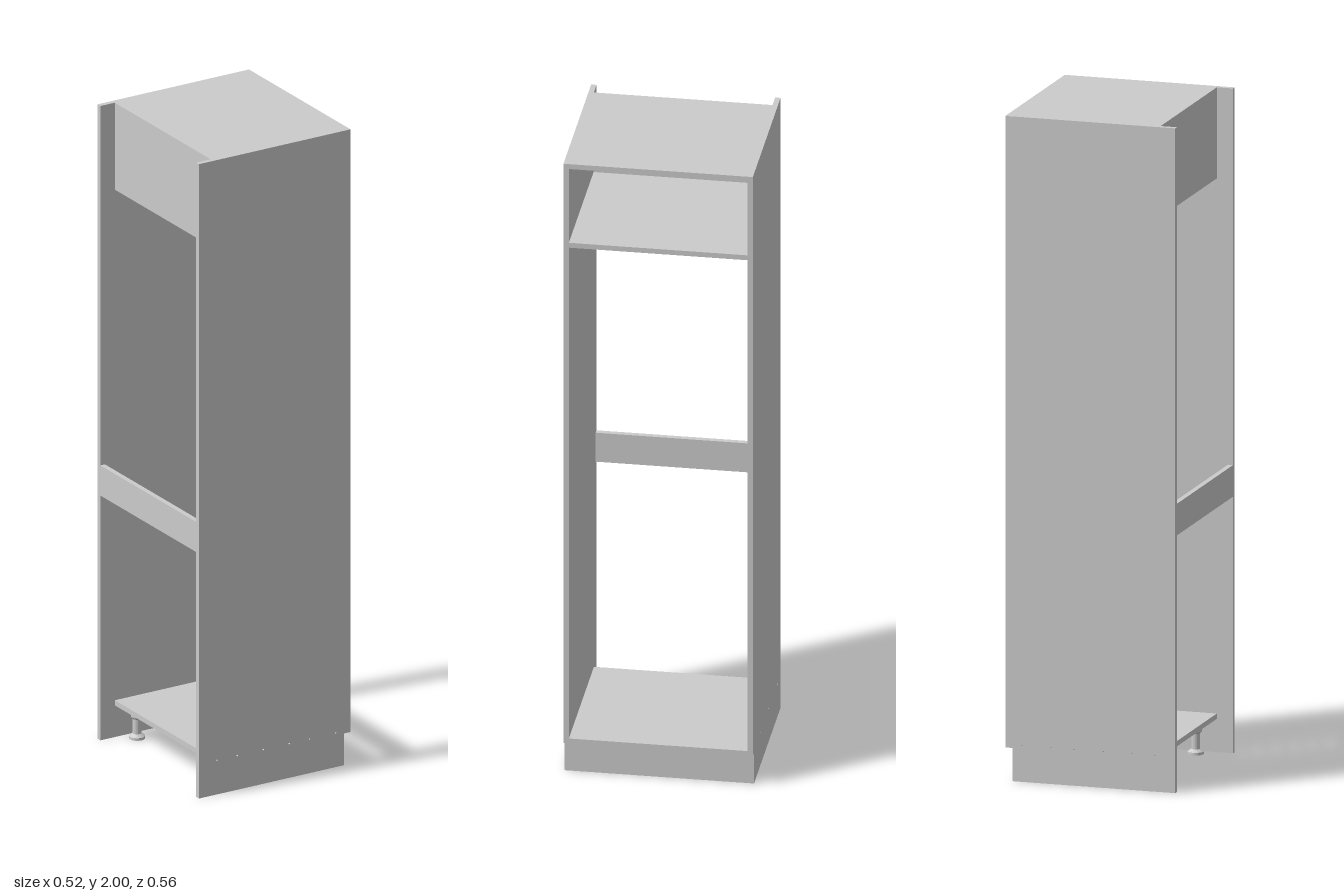
import * as THREE from 'three';

// Overall limits: the open front of the cabinet faces +x
const FRONT = 0.262, BACK = -0.262, INNER_BACK = -0.212;
const HALF = 0.281, T = 0.016, HEIGHT = 2;
const TOE_X = 0.24, TOE_Y = 0.1;

const material = new THREE.MeshStandardMaterial({ color: 0xcccccc });

// Board spanning the gap between the side panels
function board(name, x0, x1, y0, y1) {
  const mesh = new THREE.Mesh(
    new THREE.BoxGeometry(x1 - x0, y1 - y0, 2 * (HALF - T)), material);
  mesh.name = name;
  mesh.position.set((x0 + x1) / 2, (y0 + y1) / 2, 0);
  return mesh;
}

// Side panel outline with toe notch and a row of small fixing holes
function sidePanelGeometry() {
  const shape = new THREE.Shape();
  shape.moveTo(BACK, 0);
  shape.lineTo(TOE_X, 0);
  shape.lineTo(TOE_X, TOE_Y);
  shape.lineTo(FRONT, TOE_Y);
  shape.lineTo(FRONT, HEIGHT);
  shape.lineTo(BACK, HEIGHT);
  shape.closePath();
  for (const x of [-0.2, -0.13, -0.04, 0.05, 0.12, 0.21]) {
    const hole = new THREE.Path();
    hole.absarc(x, TOE_Y + T / 2, 0.0025, 0, Math.PI * 2, true);
    shape.holes.push(hole);
  }
  return new THREE.ExtrudeGeometry(shape, { depth: T, bevelEnabled: false, curveSegments: 4 });
}

// Adjustable foot: flat pad, slim shaft and a wider mounting head
function legGeometry() {
  const profile = [
    [0, 0], [0.024, 0], [0.024, 0.008], [0.013, 0.016], [0.013, 0.062],
    [0.018, 0.068], [0.018, 0.088], [0.027, 0.092], [0.027, 0.1], [0, 0.1],
  ].map(([r, y]) => new THREE.Vector2(r, y));
  const geometry = new THREE.LatheGeometry(profile, 20).toNonIndexed();
  geometry.computeVertexNormals();
  return geometry;
}

export function createModel() {
  const group = new THREE.Group();
  group.name = 'tallCabinet';

  // Two tall side panels
  const sideGeometry = sidePanelGeometry();
  for (const [name, z] of [['sidePanelFront', HALF - T], ['sidePanelRear', -HALF]]) {
    const side = new THREE.Mesh(sideGeometry, material);
    side.name = name;
    side.position.z = z;
    group.add(side);
  }

  // Horizontal boards, upper back, rear brace and plinth
  group.add(
    board('bottomPanel', INNER_BACK, FRONT, TOE_Y, TOE_Y + T),
    board('upperShelf', INNER_BACK + 0.006, FRONT, 1.726, 1.726 + T),
    board('topPanel', INNER_BACK + 0.006, FRONT, HEIGHT - T, HEIGHT),
    board('upperBackPanel', INNER_BACK, INNER_BACK + 0.006, 1.726, HEIGHT),
    board('rearBrace', BACK, BACK + T, 0.772, 0.867),
    board('plinth', TOE_X - T, TOE_X, 0, TOE_Y),
  );

  // Four feet under the bottom panel
  const leg = legGeometry();
  for (const x of [-0.16, 0.19]) {
    for (const z of [-0.225, 0.225]) {
      const foot = new THREE.Mesh(leg, material);
      foot.name = 'leg';
      foot.position.set(x, 0, z);
      group.add(foot);
    }
  }
  return group;
}
